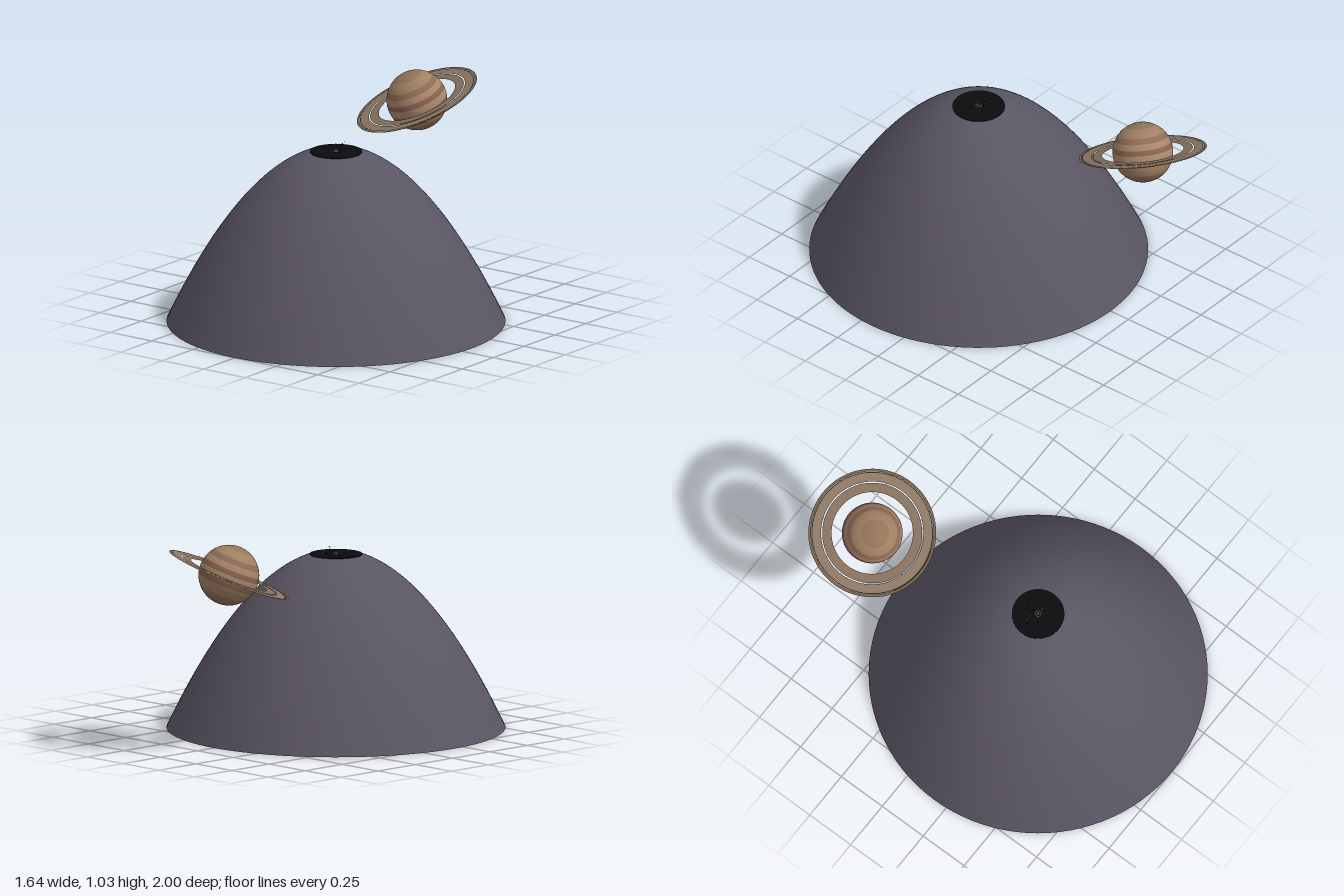
import * as THREE from 'three';

const paint = (color, side = THREE.FrontSide) =>
  new THREE.MeshStandardMaterial({ color, side });

function add(parent, name, geometry, material, x = 0, y = 0, z = 0) {
  const mesh = new THREE.Mesh(geometry, material);
  mesh.name = name;
  mesh.position.set(x, y, z);
  parent.add(mesh);
  return mesh;
}

// Small seeded generator for the scattered debris
function seeded(seed) {
  return () => (seed = (seed * 16807) % 2147483647) / 2147483647;
}

function createHill() {
  const hill = new THREE.Group();
  hill.name = 'hill';
  hill.position.z = 0.18;

  // Open parabolic shell, cut flat at the summit
  const baseRadius = 0.82, topRadius = 0.125, steps = 32;
  const profile = [];
  for (let i = 0; i <= steps; i++) {
    const r = THREE.MathUtils.lerp(baseRadius, topRadius, i / steps);
    profile.push(new THREE.Vector2(r, 0.87 * (1 - (r / baseRadius) ** 2)));
  }
  add(hill, 'hillShell', new THREE.LatheGeometry(profile, 96), paint(0x5a5563, THREE.DoubleSide));

  // Black summit plate with a small ringed marker in the middle
  const dark = paint(0x0c0c0e);
  add(hill, 'summitPlate', new THREE.CylinderGeometry(0.127, 0.127, 0.008, 64), dark, 0, 0.849, 0);
  const marker = add(hill, 'summitMarker', new THREE.TorusGeometry(0.014, 0.002, 6, 24),
    paint(0x8a9299), 0, 0.854, 0);
  marker.rotation.x = Math.PI / 2;
  add(hill, 'markerCentre', new THREE.SphereGeometry(0.005, 12, 8), paint(0xa8b0b8), 0, 0.855, 0);

  // Tiny specks on and just above the plate
  const random = seeded(17);
  const debris = new THREE.Group();
  debris.name = 'summitDebris';
  hill.add(debris);
  const chip = new THREE.BoxGeometry(1, 1, 1);
  const tints = [dark, dark, paint(0x2f5f66), paint(0x6a5a48)];
  for (let i = 0; i < 28; i++) {
    const angle = random() * Math.PI * 2;
    const r = 0.065 * Math.sqrt(random());
    const speck = add(debris, 'speck', chip, tints[i % tints.length],
      Math.cos(angle) * r - 0.01, 0.855 + 0.035 * random() ** 2, Math.sin(angle) * r - 0.02);
    speck.scale.set(0.003 + 0.005 * random(), 0.003, 0.003 + 0.003 * random());
    speck.rotation.y = random() * Math.PI;
  }
  return hill;
}

function createPlanet() {
  const planet = new THREE.Group();
  planet.name = 'ringedPlanet';
  planet.position.set(-0.17, 0.88, -0.703);
  planet.quaternion.setFromUnitVectors(
    new THREE.Vector3(0, 1, 0), new THREE.Vector3(-0.22, 0.926, 0.307).normalize());

  // Globe built of latitude belts: [end angle in degrees, colour]
  const belts = [
    [28, 0x92745a], [50, 0xa08062], [62, 0x8f6b55], [74, 0xa88669], [84, 0x8a6150],
    [98, 0xab8a6c], [108, 0x87614f], [130, 0xa08062], [150, 0x8f6f58], [180, 0x856850],
  ];
  let start = 0;
  for (const [degrees, color] of belts) {
    const end = THREE.MathUtils.degToRad(degrees);
    add(planet, 'globeBelt',
      new THREE.SphereGeometry(0.147, 64, 6, 0, Math.PI * 2, start, end - start), paint(color));
    start = end;
  }

  // Flat concentric rings separated by narrow gaps
  const rings = [
    [0.198, 0.243, 0x85705c], [0.249, 0.291, 0x8c7763], [0.291, 0.296, 0x4e4237],
    [0.298, 0.311, 0x75624f],
  ];
  for (const [inner, outer, color] of rings) {
    const ring = add(planet, 'ring', new THREE.RingGeometry(inner, outer, 96),
      paint(color, THREE.DoubleSide));
    ring.rotation.x = -Math.PI / 2;
  }
  return planet;
}

export function createModel() {
  const model = new THREE.Group();
  model.name = 'hillWithRingedPlanet';
  model.add(createHill(), createPlanet());
  return model;
}
